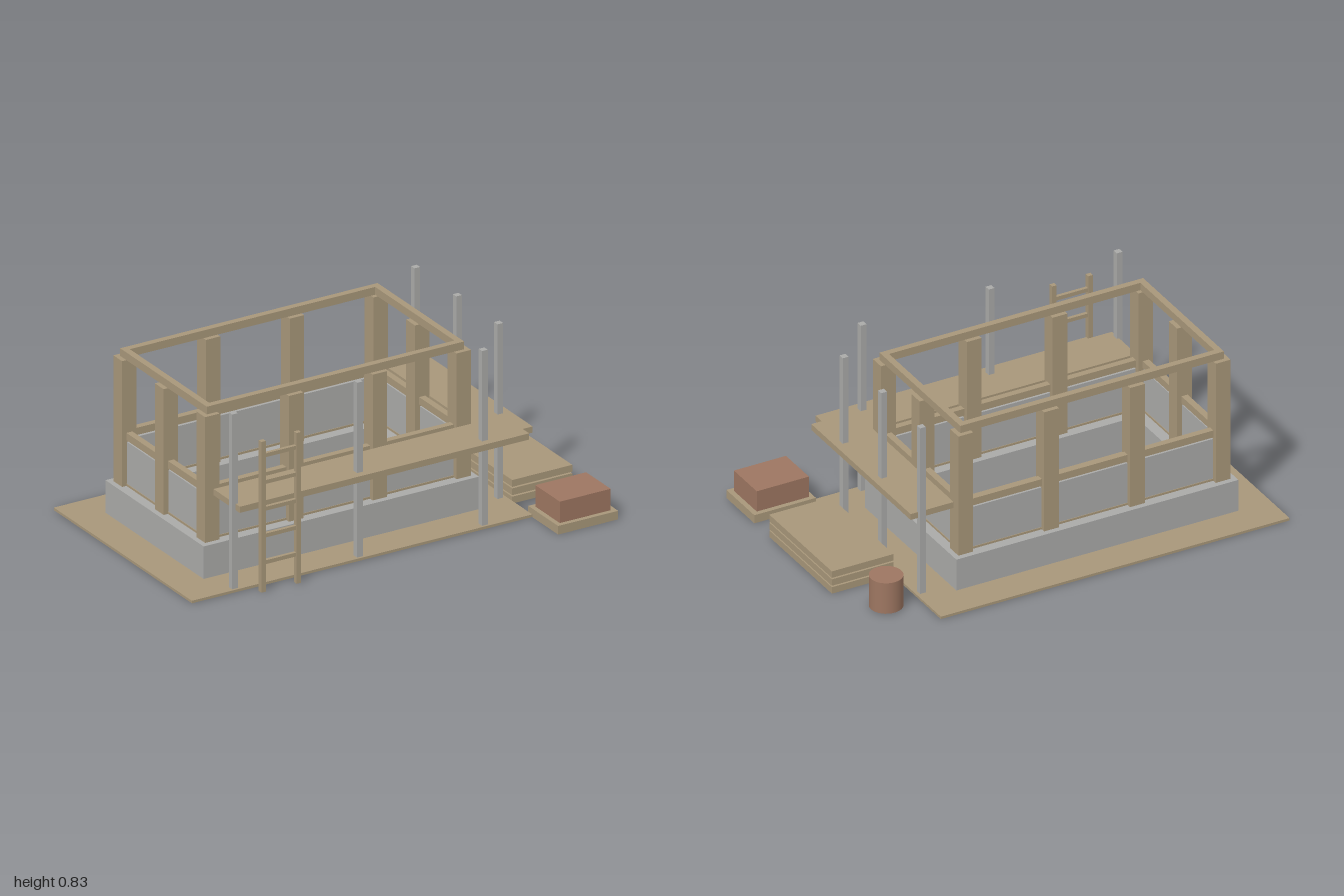
import * as THREE from 'three';

const timber = new THREE.MeshStandardMaterial({ color: 0xa8977a });
timber.name = 'timber';
const concrete = new THREE.MeshStandardMaterial({ color: 0xaaaaa8 });
concrete.name = 'concrete';
const brick = new THREE.MeshStandardMaterial({ color: 0x9d7661 });
brick.name = 'brick';

export function createModel() {
  const model = new THREE.Group();
  model.name = 'buildingSite';

  const add = (name, geometry, material, parent = model) => {
    const mesh = new THREE.Mesh(geometry, material);
    mesh.name = name;
    parent.add(mesh);
    return mesh;
  };
  const group = (name) => {
    const g = new THREE.Group();
    g.name = name;
    model.add(g);
    return g;
  };
  // Box given by its limits on each axis
  const box = (name, [x0, x1], [y0, y1], [z0, z1], material, parent) => {
    const mesh = add(name, new THREE.BoxGeometry(x1 - x0, y1 - y0, z1 - z0), material, parent);
    mesh.position.set((x0 + x1) / 2, (y0 + y1) / 2, (z0 + z1) / 2);
    return mesh;
  };
  // Flat plan outline in (x, z), extruded between two heights
  const plan = (name, points, hole, y0, y1, material, parent) => {
    const toVectors = (list) => list.map(([x, z]) => new THREE.Vector2(x, z));
    const shape = new THREE.Shape(toVectors(points));
    if (hole) shape.holes.push(new THREE.Path(toVectors(hole)));
    const geometry = new THREE.ExtrudeGeometry(shape, { depth: y1 - y0, bevelEnabled: false });
    geometry.rotateX(Math.PI / 2).translate(0, y1, 0);
    return add(name, geometry, material, parent);
  };
  const rect = (x0, x1, z0, z1) => [[x0, z0], [x1, z0], [x1, z1], [x0, z1]];

  // Ground board and foundation ring
  box('groundBoard', [-1, 0.7], [0.001, 0.013], [-0.67, 0.455], timber);
  plan('foundation', rect(-0.84, 0.535, -0.51, 0.29), rect(-0.715, 0.41, -0.385, 0.165),
    0, 0.165, concrete);

  // Timber frame: columns round the perimeter
  const frame = group('timberFrame');
  const xs = [-0.78, -0.362, 0.057, 0.475];
  const zs = [-0.449, -0.111, 0.227];
  const half = 0.036;
  xs.forEach((x, i) => zs.forEach((z, j) => {
    if (j === 1 && i !== 0 && i !== 3) return;
    box('column', [x - half, x + half], [0.165, 0.753], [z - half, z + half], timber, frame);
  }));

  // Rings of beams and low wall centred on the column lines
  const ring = (name, width, y0, y1, material) => {
    const w = width / 2;
    plan(name, rect(xs[0] - w, xs[3] + w, zs[0] - w, zs[2] + w),
      rect(xs[0] + w, xs[3] - w, zs[0] + w, zs[2] - w), y0, y1, material, frame);
  };
  ring('sillBeam', 0.03, 0.145, 0.175, timber);
  ring('lowWall', 0.024, 0.165, 0.37, concrete);
  ring('middleRail', 0.03, 0.379, 0.413, timber);
  ring('topBeam', 0.03, 0.753, 0.789, timber);

  // Scaffold: L-shaped deck and poles
  const scaffold = group('scaffold');
  plan('scaffoldDeck', [[-0.775, 0.264], [0.51, 0.264], [0.51, -0.442], [0.72, -0.442],
    [0.72, 0.425], [0.67, 0.425], [0.67, 0.478], [-0.775, 0.478]], null, 0.379, 0.408, timber, scaffold);
  const poles = [[-0.778, 0.43], [-0.154, 0.43], [0.47, 0.43],
    [0.67, 0.229], [0.67, -0.107], [0.67, -0.446]];
  for (const [x, z] of poles) {
    box('scaffoldPole', [x - 0.014, x + 0.014], [0, 0.83], [z - 0.014, z + 0.014], concrete, scaffold);
  }

  // Ladder
  const ladder = group('ladder');
  for (const x of [-0.679, -0.503]) {
    box('ladderRail', [x - 0.011, x + 0.011], [0, 0.705], [0.493, 0.515], timber, ladder);
  }
  for (let i = 0; i < 5; i++) {
    const y = 0.136 + i * 0.125;
    box('ladderRung', [-0.668, -0.514], [y - 0.009, y + 0.009], [0.496, 0.512], timber, ladder);
  }

  // Stack of boards
  const stack = group('boardStack');
  for (let i = 0; i < 3; i++) {
    const y = i * 0.039;
    box('board', [0.7, 1], [y, y + 0.032], [-0.256, 0.291], timber, stack);
  }

  // Pallet of bricks
  box('pallet', [0.7, 1], [0, 0.04], [0.421, 0.665], timber);
  box('brickPile', [0.722, 0.976], [0.04, 0.14], [0.443, 0.643], brick);

  // Barrel
  add('barrel', new THREE.CylinderGeometry(0.074, 0.074, 0.15, 32), brick)
    .position.set(0.848, 0.079, -0.457);

  return model;
}
